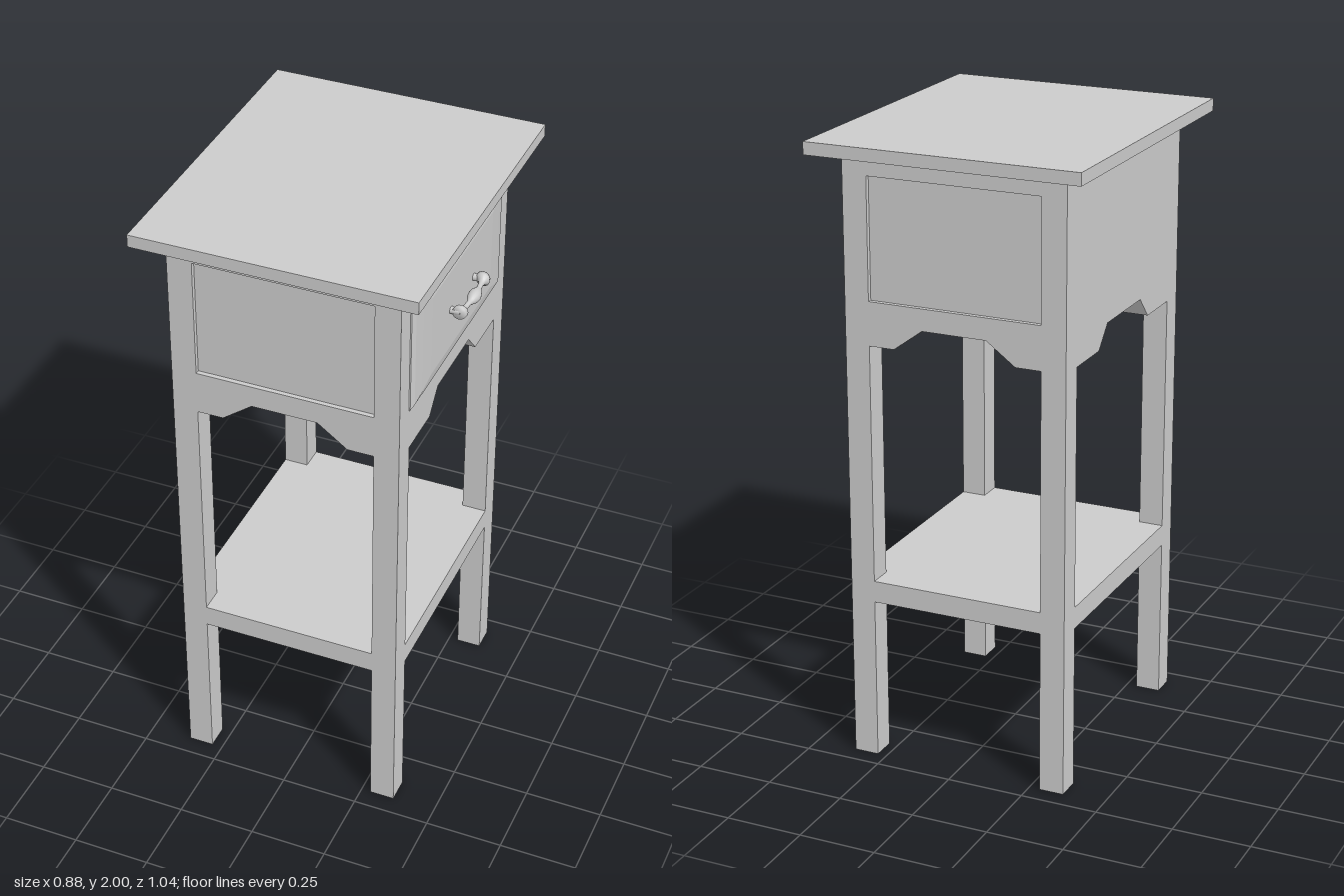
import * as THREE from 'three';

const X = 0.3625, Z = 0.44;      // outer half sizes of the frame
const LEG = 0.08;                // leg and board thickness
const XI = X - LEG, ZI = Z - LEG;
const TOP = 1.96;                // underside of the table top
const FLOOR = 1.44;              // underside of the drawer box

const material = new THREE.MeshStandardMaterial({ color: 0xcccccc });

function add(parent, name, geometry, x = 0, y = 0, z = 0) {
  const mesh = new THREE.Mesh(geometry, material);
  mesh.name = name;
  mesh.position.set(x, y, z);
  parent.add(mesh);
  return mesh;
}

function box(parent, name, w, y0, y1, d, x, z) {
  return add(parent, name, new THREE.BoxGeometry(w, y1 - y0, d), x, (y0 + y1) / 2, z);
}

function extrude(points, depth) {
  const shape = new THREE.Shape(points.map(([x, y]) => new THREE.Vector2(x, y)));
  return new THREE.ExtrudeGeometry(shape, { depth, bevelEnabled: false });
}

// Board with a chamfered arch cut into its lower edge
function apron(half, low, high, top) {
  return extrude([
    [-half, 1.37], [-low, 1.37], [-high, FLOOR], [high, FLOOR],
    [low, 1.37], [half, 1.37], [half, top], [-half, top],
  ], LEG).translate(0, 0, -LEG / 2);
}

// Raised panel from shrinking rectangular rings [half z, y bottom, y top, x]
function raisedPanel(rings) {
  const pos = [];
  const corners = ([h, b, t, x]) => [[x, b, h], [x, b, -h], [x, t, -h], [x, t, h]];
  const quad = (a, b, c, d) => pos.push(...a, ...b, ...c, ...a, ...c, ...d);
  for (let i = 0; i < rings.length - 1; i++) {
    const o = corners(rings[i]), n = corners(rings[i + 1]);
    for (let k = 0; k < 4; k++) {
      const m = (k + 1) % 4;
      quad(o[k], o[m], n[m], n[k]);
    }
  }
  quad(...corners(rings[rings.length - 1]));
  const geometry = new THREE.BufferGeometry();
  geometry.setAttribute('position', new THREE.Float32BufferAttribute(pos, 3));
  geometry.computeVertexNormals();
  return geometry;
}

// Turned pull lying along z, bowed slightly outwards at the middle
function pullBar() {
  const half = [[0.02, 0], [0.018, 0.015], [0.012, 0.03], [0.008, 0.04],
    [0.008, 0.065], [0.012, 0.08], [0.022, 0.09], [0.022, 0.103], [0, 0.103]];
  const lower = half.slice(1).reverse().map(([r, y]) => [r, -y]);
  const profile = [...lower, ...half].map(([r, y]) => new THREE.Vector2(r, y));
  const geometry = new THREE.LatheGeometry(profile, 16).rotateX(Math.PI / 2);
  const p = geometry.attributes.position;
  for (let i = 0; i < p.count; i++) {
    p.setX(i, p.getX(i) + 0.01 * (1 - (p.getZ(i) / 0.103) ** 2));
  }
  geometry.computeVertexNormals();
  return geometry;
}

export function createModel() {
  const model = new THREE.Group();
  model.name = 'sideTable';

  box(model, 'tableTop', 0.885, TOP, 2, 1.045, 0, 0);

  const frame = new THREE.Group();
  frame.name = 'frame';
  frame.position.x = -0.002;
  model.add(frame);

  // Four square legs
  for (const sx of [-1, 1]) {
    for (const sz of [-1, 1]) {
      box(frame, 'leg', LEG, 0, TOP, LEG, sx * (X - LEG / 2), sz * (Z - LEG / 2));
    }
  }

  // Front and back: arched rail, recessed panel, top rail
  for (const s of [-1, 1]) {
    const z = s * (Z - LEG / 2);
    add(frame, 'archedRail', apron(XI, 0.2, 0.105, 1.51), 0, 0, z);
    box(frame, 'recessedPanel', 2 * XI, 1.51, 1.895, 0.03, 0, s * (Z - 0.03));
    box(frame, 'topRail', 2 * XI, 1.895, TOP, LEG, 0, z);
  }

  // Sides: full-height arched boards flush with the legs
  for (const s of [-1, 1]) {
    const board = add(frame, 'sideBoard', apron(ZI, 0.195, 0.13, TOP), s * (X - LEG / 2));
    board.rotation.y = Math.PI / 2;
  }
  box(frame, 'boxFloor', 2 * XI, FLOOR, 1.5, 2 * ZI, 0, 0);

  // Lower shelf notched around the legs
  const shelf = extrude([
    [-XI, -Z], [XI, -Z], [XI, -ZI], [X, -ZI], [X, ZI], [XI, ZI],
    [XI, Z], [-XI, Z], [-XI, ZI], [-X, ZI], [-X, -ZI], [-XI, -ZI],
  ], 0.07).rotateX(-Math.PI / 2);
  add(frame, 'shelf', shelf, 0, 0.53, 0);

  // Drawer front and pull
  const drawer = new THREE.Group();
  drawer.name = 'drawer';
  model.add(drawer);
  add(drawer, 'drawerFront', raisedPanel([
    [0.37, 1.505, 1.895, 0.358],
    [0.367, 1.51, 1.89, 0.364],
    [0.352, 1.522, 1.875, 0.372],
    [0.31, 1.54, 1.855, 0.377],
    [0.25, 1.563, 1.832, 0.381],
  ]));
  add(drawer, 'pullBar', pullBar(), 0.409, 1.695, 0);
  for (const s of [-1, 1]) {
    const post = new THREE.CylinderGeometry(0.01, 0.012, 0.04, 12).rotateZ(-Math.PI / 2);
    add(drawer, 'pullPost', post, 0.392, 1.695, s * 0.095);
  }

  return model;
}
